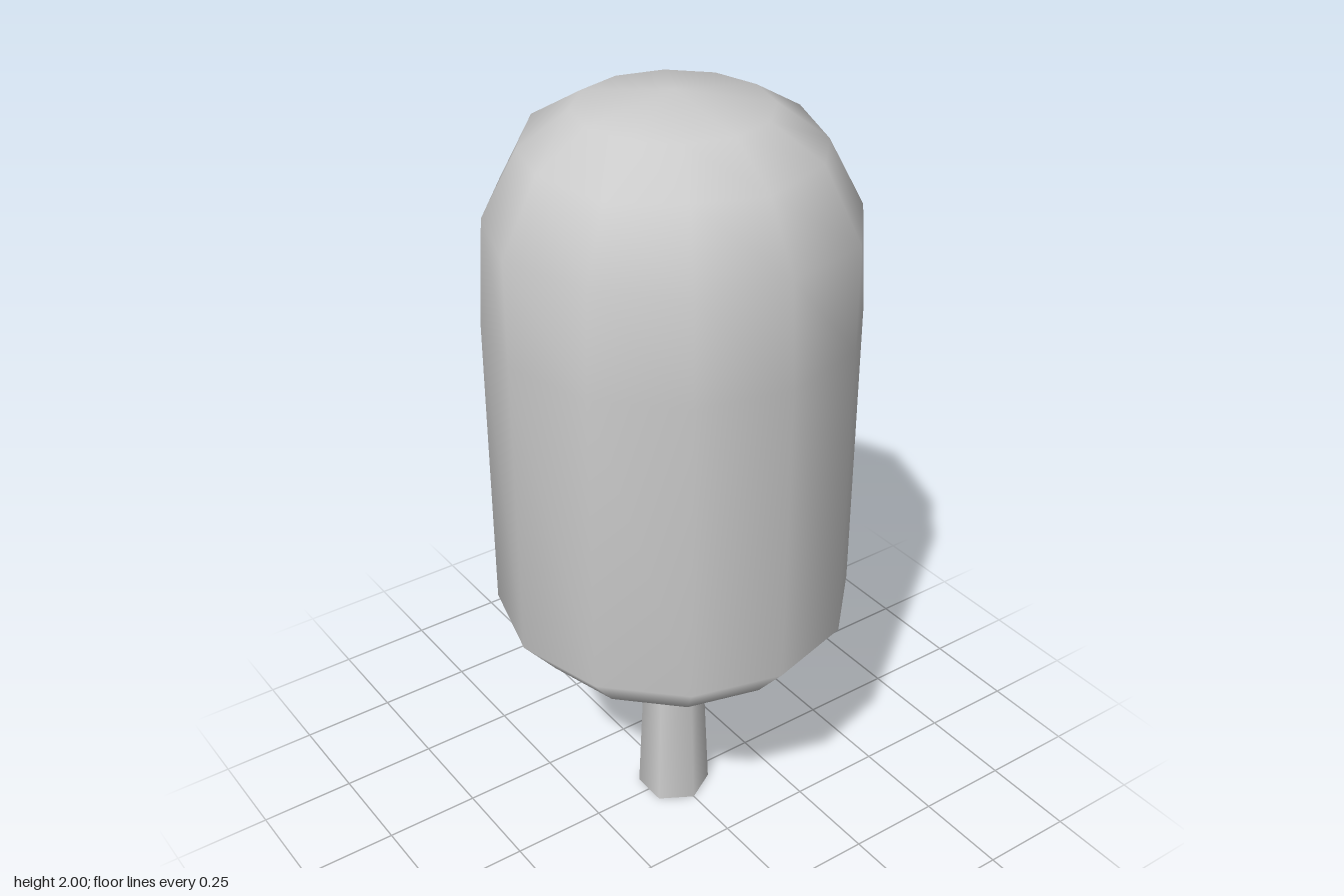
import * as THREE from 'three';
import { mergeVertices } from 'three/addons/utils/BufferGeometryUtils.js';

const material = new THREE.MeshStandardMaterial({ color: 0xcccccc });

// Twelve-sided rounded body; alternate columns are drawn in slightly at the dome.
function bodyGeometry() {
  const profile = [
    [0, 0.475], [0.07, 0.475], [0.365, 0.555], [0.453, 0.66],
    [0.453, 1.45], [0.453, 1.71], [0.36, 1.885], [0.23, 1.962], [0, 2],
  ].map(([r, y]) => new THREE.Vector2(r, y));
  const inset = { 5: [0.437, 1.71], 6: [0.352, 1.872] };
  const sides = 12;

  let geometry = new THREE.LatheGeometry(profile, sides);
  const position = geometry.attributes.position;
  for (let column = 1; column < sides; column += 2) {
    const angle = (column / sides) * Math.PI * 2;
    for (const [row, [r, y]] of Object.entries(inset)) {
      const i = column * profile.length + Number(row);
      position.setXYZ(i, r * Math.sin(angle), y, r * Math.cos(angle));
    }
  }

  // Weld the seam so the shading stays smooth all round.
  geometry.deleteAttribute('uv');
  geometry.deleteAttribute('normal');
  geometry = mergeVertices(geometry, 1e-4);
  geometry.computeVertexNormals();
  return geometry;
}

export function createModel() {
  const model = new THREE.Group();
  model.name = 'roundedHeadOnStem';

  const body = new THREE.Mesh(bodyGeometry(), material);
  body.name = 'body';
  model.add(body);

  // Tapered six-sided stem with a corner on the x axis.
  const stemGeometry = new THREE.CylinderGeometry(0.075, 0.096, 0.48, 6);
  stemGeometry.rotateY(Math.PI / 2);
  const stem = new THREE.Mesh(stemGeometry, material);
  stem.name = 'stem';
  stem.position.y = 0.24;
  model.add(stem);

  return model;
}
